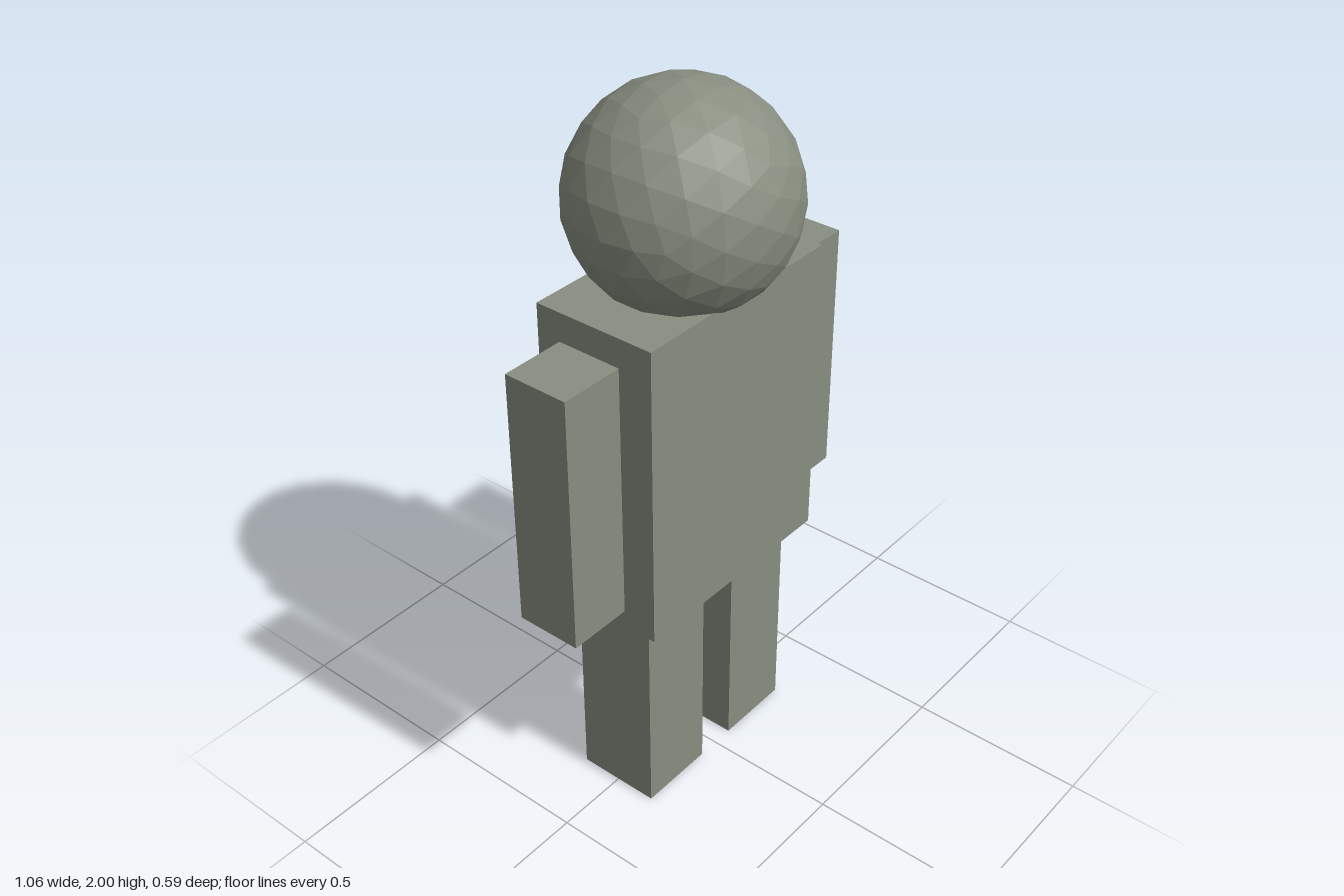
import * as THREE from 'three';

export function createModel() {
  const model = new THREE.Group();
  model.name = 'blockFigure';

  const stone = new THREE.MeshStandardMaterial({ color: 0x888e80, flatShading: true });
  stone.name = 'greyGreen';

  const add = (name, geometry, x, y, z = 0) => {
    const mesh = new THREE.Mesh(geometry, stone);
    mesh.name = name;
    mesh.position.set(x, y, z);
    model.add(mesh);
  };

  // Box given by its width, depth and vertical extent
  const block = (name, x, width, bottom, top, depth) =>
    add(name, new THREE.BoxGeometry(width, top - bottom, depth), x, (bottom + top) / 2);

  // Faceted head, sunk into the torso
  add('head', new THREE.IcosahedronGeometry(0.295, 3), 0, 1.705);

  block('torso', 0, 0.66, 0.636, 1.498, 0.354);

  // Mirrored limbs; the arms float just off the torso
  for (const [side, s] of [['left', 1], ['right', -1]]) {
    block(side + 'Arm', s * 0.437, 0.183, 0.703, 1.43, 0.185);
    block(side + 'Leg', s * 0.173, 0.225, 0, 0.636, 0.24);
  }
  return model;
}
